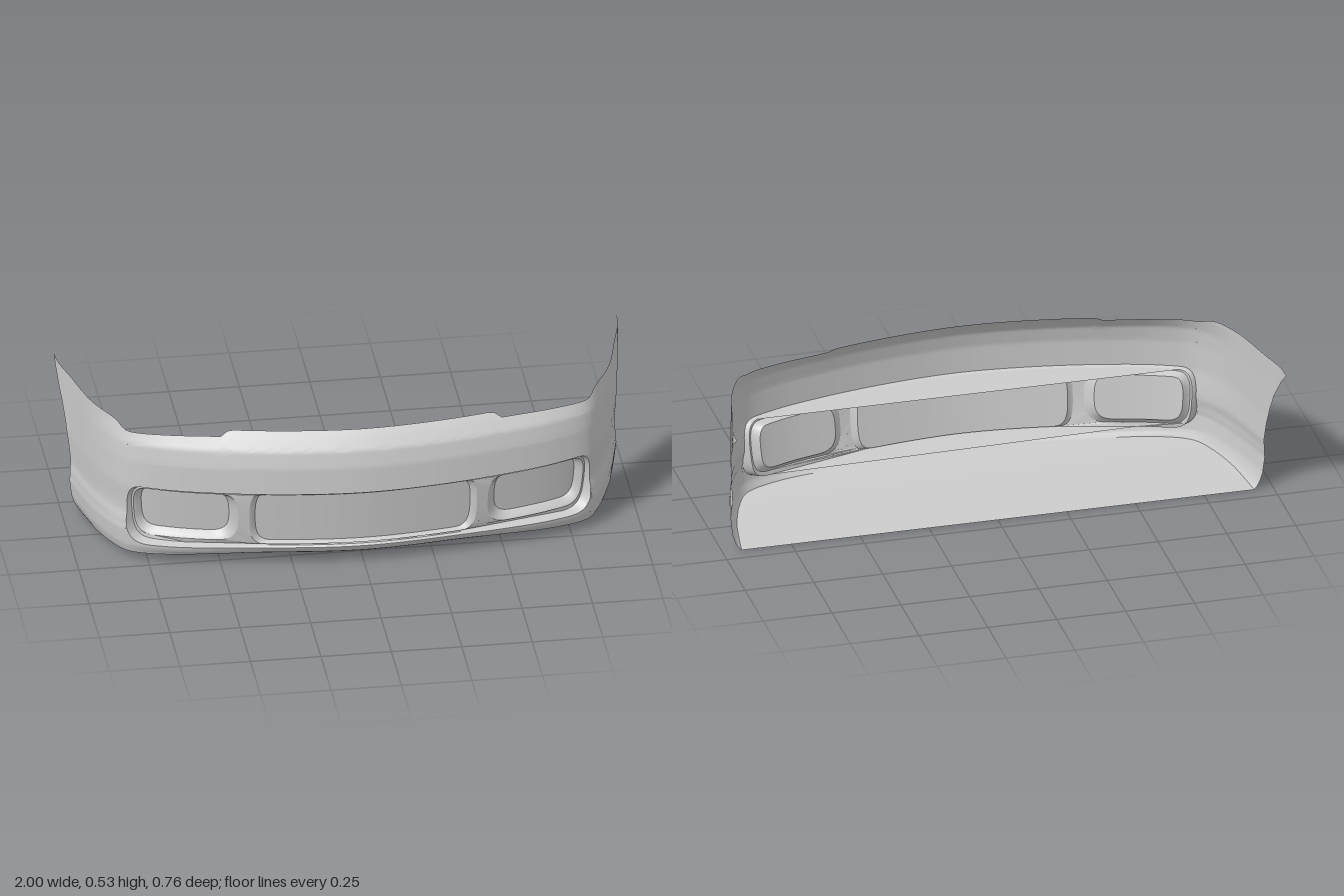
import * as THREE from 'three';
import { mergeGeometries, toCreasedNormals } from 'three/addons/utils/BufferGeometryUtils.js';

const { lerp, smoothstep } = THREE.MathUtils;
const material = new THREE.MeshStandardMaterial({ color: 0xcccccc, side: THREE.DoubleSide });

// Plan outline of the bumper, mirrored about x = 0
const half = [[0.25, 0.361], [0.5, 0.316], [0.7, 0.259], [0.823, 0.195], [0.877, 0.11],
  [0.919, 0], [0.945, -0.1], [0.968, -0.2], [0.989, -0.28], [0.998, -0.33], [1, -0.38]];
const outline = [...half.map(([x, z]) => [-x, z]).reverse(), [0, 0.38], ...half];
const plan = new THREE.CatmullRomCurve3(outline.map(([x, z]) => new THREE.Vector3(x, 0, z)));
plan.arcLengthDivisions = 800;
const LENGTH = plan.getLength();
const along = (a) => THREE.MathUtils.clamp(0.5 + a / LENGTH, 0, 1);

// Linear lookup in a short table of [key, value]
function table(rows, k) {
  if (k <= rows[0][0]) return rows[0][1];
  for (let i = 1; i < rows.length; i++) {
    const [k0, v0] = rows[i - 1], [k1, v1] = rows[i];
    if (k <= k1) return lerp(v0, v1, (k - k0) / (k1 - k0));
  }
  return rows[rows.length - 1][1];
}

// Inset of the skin from the outline, by height, for the nose and the flanks
const NOSE = [[0.036, 0.07], [0.042, 0.058], [0.05, 0.046], [0.07, 0.034], [0.1, 0.032], [0.2, 0.016],
  [0.29, 0], [0.4, 0.004], [0.46, 0.018], [0.5, 0.05], [0.52, 0.07]];
const FLANK = [[0, 0.034], [0.012, 0.022], [0.03, 0.012], [0.06, 0.002], [0.125, -0.005],
  [0.13, -0.003], [0.16, -0.002], [0.19, 0.003], [0.3, -0.002], [0.45, 0], [0.53, 0.002]];
const REAR_Z = [[0, -0.183], [0.13, -0.19], [0.2, -0.198], [0.27, -0.21], [0.33, -0.23],
  [0.4, -0.262], [0.48, -0.32], [0.53, -0.38]];

function skinInset(a, y) {
  const from = lerp(0.25, 0.5, smoothstep(y, 0.1, 0.25));
  return lerp(table(NOSE, y), table(FLANK, y), smoothstep(Math.abs(a), from, from + 0.65));
}
const recessInset = (a, y) => 0.014 + (0.29 - y) * 0.13;

// Point at arc length a and height y, pushed in from the outline
function place(a, y, inset) {
  const p = plan.getPointAt(along(a)), t = plan.getTangentAt(along(a));
  return new THREE.Vector3(p.x + t.z * inset, y, p.z - t.x * inset);
}

// Arc length at which the outline reaches depth z on the left side
function arcAtZ(z) {
  let lo = 0, hi = LENGTH / 2;
  for (let i = 0; i < 24; i++) {
    const mid = (lo + hi) / 2;
    if (plan.getPointAt(along(mid)).z > z) lo = mid; else hi = mid;
  }
  return lo;
}
const rearEnds = REAR_Z.map(([y, z]) => [y, arcAtZ(z)]);
const rearArc = (y) => table(rearEnds, y);
const floorY = (a) => (plan.getPointAt(along(a)).z + 0.185) * 0.073;
const topY = (a) => table([[0.49, 0.52], [0.51, 0.502], [0.87, 0.5], [0.9, 0.508], [0.93, 0.522], [0.97, 0.53]], Math.abs(a));

// Surface through columns of points
function loft(columns) {
  const rows = columns[0].length, index = [];
  for (let i = 0; i < columns.length - 1; i++)
    for (let j = 0; j < rows - 1; j++) {
      const a = i * rows + j, b = a + rows;
      index.push(a, a + 1, b, b, a + 1, b + 1);
    }
  const g = new THREE.BufferGeometry().setFromPoints(columns.flat());
  return g.setIndex(index).toNonIndexed();
}

const series = (n, fn) => Array.from({ length: n + 1 }, (_, i) => fn(i / n));

// Rounded slot as columns of [arc, lower y, upper y]; lower corners are softer
function slot(a0, a1, y0, y1, r, n = 40) {
  const ends = series(12, (t) => t ** 3 * r);
  const arcs = [...ends.map((e) => a0 + e),
    ...series(n, (t) => lerp(a0 + r, a1 - r, t)).slice(1, -1),
    ...ends.map((e) => a1 - e).reverse()];
  const mid = (y0 + y1) / 2, h = (y1 - y0) / 2;
  return arcs.map((a) => {
    const reach = (radius) => {
      const q = Math.max(0, 1 - Math.min(a - a0, a1 - a) / radius);
      return h * Math.cbrt(Math.max(0, 1 - q ** 3));
    };
    return [a, mid - reach(r * 1.5), mid + reach(r)];
  });
}
const loop = (s) => [...s.map((c) => [c[0], c[2]]), ...s.map((c) => [c[0], c[1]]).reverse().slice(1, -1)];

// Closed wall joining matching slots, each with its own inset rule
function wall(steps) {
  const rings = steps.map(([s, inset]) => loop(s).map(([a, y]) => place(a, y, inset(a, y))));
  return loft([...rings[0].keys(), 0].map((i) => rings.map((r) => r[i])));
}

export function createModel() {
  const group = new THREE.Group();
  const add = (name, geometry, crease = 0.6) => {
    geometry.deleteAttribute('uv');
    geometry.deleteAttribute('normal');
    const mesh = new THREE.Mesh(toCreasedNormals(geometry, crease), material);
    mesh.name = name;
    group.add(mesh);
  };

  // Skin: upper and lower halves that part around the wide opening
  const END = 0.855, TAIL = 28;
  const opening = slot(-END, END, 0.072, 0.302, 0.07, 70);
  const stations = [
    ...series(TAIL, (t) => ({ side: -1, f: 1 - t, s: opening[0] })).slice(0, -1),
    ...opening.map((s) => ({ side: 0, f: 0, s })),
    ...series(TAIL, (t) => ({ side: 1, f: t, s: opening[0] })).slice(1)];
  const arc = ({ side, f, s }, y) => side ? side * lerp(END, rearArc(y), f) : s[0];
  const skinPoint = (st, y) => {
    const a = arc(st, y);
    return place(a, y, skinInset(a, y));
  };
  const upper = stations.map((st) => {
    const top = topY(arc(st, 0.53));
    return series(26, (t) => skinPoint(st, lerp(top, st.s[2], t)));
  });
  const lower = stations.map((st) => {
    const bottom = floorY(arc(st, 0));
    return series(18, (t) => skinPoint(st, lerp(st.s[1], bottom, t)));
  });
  add('bumperSkin', mergeGeometries([loft(upper), loft(lower)]));

  // Flat undertray spanning between the lower edges
  const edge = lower.map((c) => c[c.length - 1]);
  const middle = Math.floor(edge.length / 2);
  add('undertray', loft(edge.slice(0, middle + 1).map((p, i) => [p, edge[edge.length - 1 - i]])));

  // Rounded lip leading from the skin into the recess
  const bezelEdge = slot(-0.847, 0.847, 0.079, 0.297, 0.07, 70);
  const lipEdge = slot(-0.853, 0.853, 0.075, 0.3, 0.07, 70);
  add('openingLip', wall([
    [opening, skinInset],
    [lipEdge, (a, y) => lerp(skinInset(a, y), recessInset(a, y), 0.4)],
    [bezelEdge, recessInset]]), 0.9);

  // Pockets [name, rim, panel outline, depth]: a central grille and a lamp pocket each side
  const pockets = [
    ['grille', slot(-0.412, 0.412, 0.084, 0.293, 0.04), slot(-0.392, 0.392, 0.092, 0.287, 0.04), 0.018],
    ['leftLamp', slot(0.452, 0.838, 0.095, 0.291, 0.065), slot(0.487, 0.818, 0.12, 0.282, 0.055), 0.03],
    ['rightLamp', slot(-0.838, -0.452, 0.095, 0.291, 0.065), slot(-0.818, -0.487, 0.12, 0.282, 0.055), 0.03]];

  // Bezel face around the pockets, bent onto the recess surface
  const path = (s) => loop(s).map(([a, y]) => new THREE.Vector2(a, y));
  const shape = new THREE.Shape(path(bezelEdge));
  pockets.forEach(([, rim]) => shape.holes.push(new THREE.Path(path(rim))));
  const bezel = new THREE.ShapeGeometry(shape).toNonIndexed();
  const pos = bezel.attributes.position;
  for (let i = 0; i < pos.count; i++) {
    const a = pos.getX(i), y = pos.getY(i), p = place(a, y, recessInset(a, y));
    pos.setXYZ(i, p.x, p.y, p.z);
  }
  add('bezel', bezel);

  // Pocket walls and the panels closing them
  for (const [name, rim, inner, depth] of pockets) {
    const bend = rim.map((c, i) => c.map((v, k) => lerp(v, inner[i][k], 0.4)));
    const panelInset = (a, y) => recessInset(a, y) + depth;
    add(name + 'Surround', wall([
      [rim, recessInset],
      [bend, (a, y) => recessInset(a, y) + depth * 0.25],
      [inner, panelInset]]), 0.9);
    add(name + 'Panel', loft(inner.map(([a, lo, hi]) =>
      series(4, (t) => {
        const y = lerp(hi, lo, t);
        return place(a, y, panelInset(a, y));
      }))));
  }
  return group;
}
